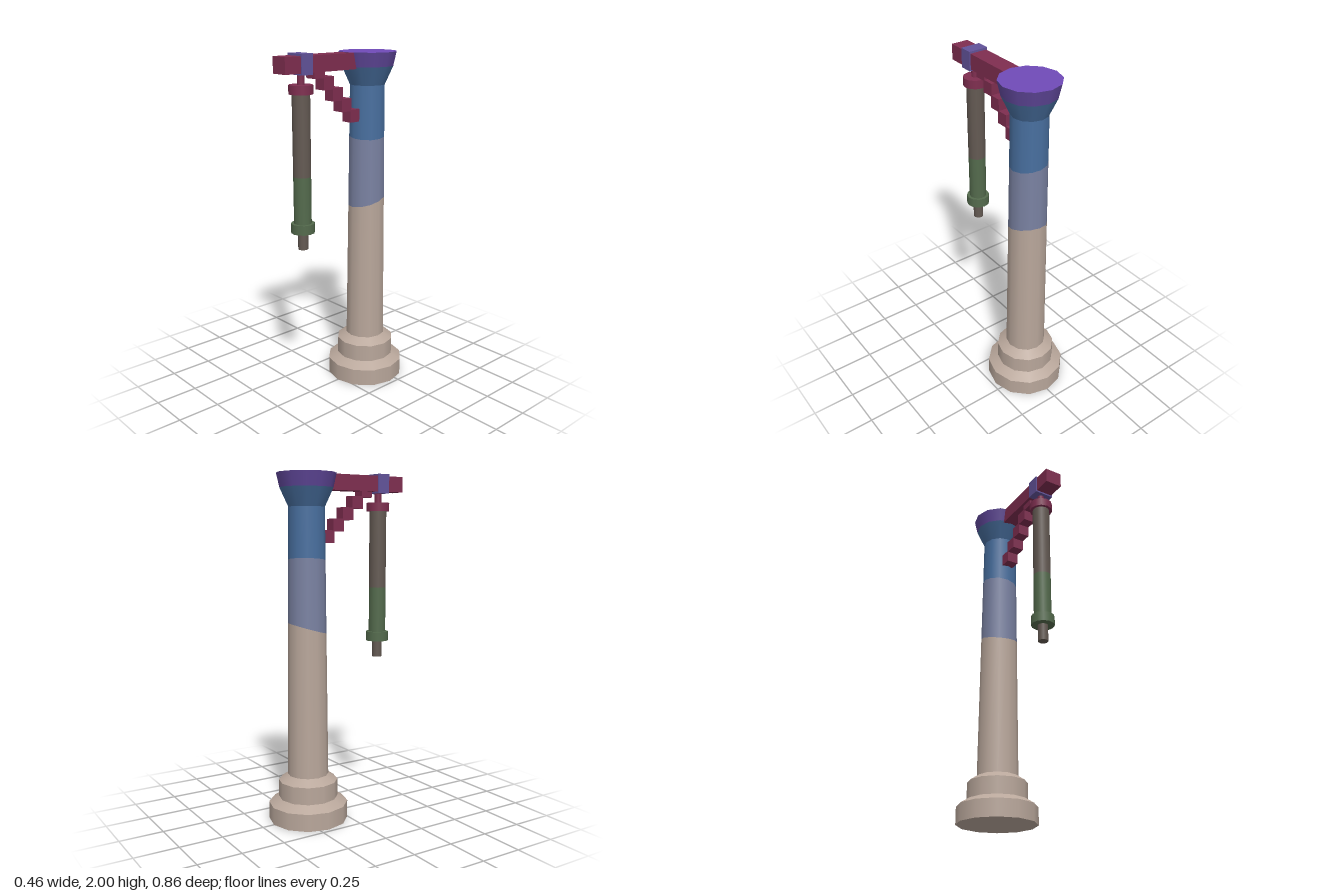
import * as THREE from 'three';

const mat = (name, color) => {
  const m = new THREE.MeshStandardMaterial({ color });
  m.name = name;
  return m;
};

export function createModel() {
  const stone = mat('stone', 0xb9a79b);
  const slate = mat('slate', 0x7a82a2);
  const blue = mat('blue', 0x486f9f);
  const rimPurple = mat('rimPurple', 0x60479a);
  const topPurple = mat('topPurple', 0x704bb8);
  const crimson = mat('crimson', 0x7f2e50);
  const violet = mat('violet', 0x62539a);
  const darkMetal = mat('darkMetal', 0x645a53);
  const green = mat('green', 0x546b4d);

  const root = new THREE.Group();
  root.name = 'pillarWithHangingLamp';
  const SIDES = 12;

  const add = (parent, name, geometry, material, x = 0, y = 0, z = 0) => {
    const mesh = new THREE.Mesh(geometry, material);
    mesh.name = name;
    mesh.position.set(x, y, z);
    parent.add(mesh);
    return mesh;
  };

  // Twelve-sided section from y0 to y1; low and high tilt its end rings as [dy/dx, dy/dz]
  const section = (parent, name, r0, y0, r1, y1, material, open = true, low = [0, 0], high = [0, 0]) => {
    const g = new THREE.CylinderGeometry(r1, r0, y1 - y0, SIDES, 1, open);
    g.translate(0, (y0 + y1) / 2, 0);
    const p = g.attributes.position;
    for (let i = 0; i < p.count; i++) {
      const tilt = p.getY(i) > (y0 + y1) / 2 ? high : low;
      p.setY(i, p.getY(i) + tilt[0] * p.getX(i) + tilt[1] * p.getZ(i));
    }
    return add(parent, name, g, material);
  };

  // Pillar: stepped foot, three-coloured shaft and flared head
  const pillar = new THREE.Group();
  pillar.name = 'pillar';
  pillar.position.z = -0.2;
  root.add(pillar);

  section(pillar, 'footLower', 0.23, 0, 0.23, 0.1, stone, false);
  section(pillar, 'footLowerSlope', 0.23, 0.1, 0.172, 0.135, stone);
  section(pillar, 'footUpper', 0.172, 0.135, 0.172, 0.235, stone);
  section(pillar, 'footUpperSlope', 0.172, 0.235, 0.118, 0.27, stone);

  const lowCut = [0.07, -0.28];
  const highCut = [-0.1, -0.08];
  const flat = [0, 0];
  section(pillar, 'shaftStone', 0.118, 0.27, 0.109, 1.125, stone, true, flat, lowCut);
  section(pillar, 'shaftSlate', 0.109, 1.125, 0.105, 1.512, slate, true, lowCut, highCut);
  section(pillar, 'shaftBlue', 0.105, 1.512, 0.102, 1.805, blue, true, highCut, flat);
  section(pillar, 'headFlare', 0.102, 1.805, 0.15, 1.91, blue);
  section(pillar, 'headRim', 0.15, 1.91, 0.168, 1.99, rimPurple);
  const top = add(pillar, 'headTop', new THREE.CircleGeometry(0.168, SIDES), topPurple, 0, 1.99, 0);
  top.rotation.x = -Math.PI / 2;

  // Arm and the stepped bracket below it
  add(root, 'arm', new THREE.BoxGeometry(0.102, 0.089, 0.63), crimson, 0, 1.944, 0.115);
  for (let i = 0; i < 5; i++) {
    add(root, 'bracketStep' + (i + 1), new THREE.BoxGeometry(0.07, 0.072, 0.072), crimson,
      0, 1.9 - 0.065 * i, 0.185 - 0.065 * i);
  }

  // Strap around the arm
  add(root, 'strap', new THREE.BoxGeometry(0.116, 0.11, 0.076), violet, 0, 1.945, 0.288);

  // Hanging lamp
  const lamp = new THREE.Group();
  lamp.name = 'hangingLamp';
  lamp.position.z = 0.288;
  root.add(lamp);
  section(lamp, 'lampNeck', 0.02, 1.83, 0.02, 1.9, crimson, false);
  section(lamp, 'lampTopCollar', 0.067, 1.788, 0.067, 1.837, crimson, false);
  section(lamp, 'lampUpperTube', 0.05, 1.34, 0.05, 1.79, darkMetal);
  section(lamp, 'lampLowerTube', 0.05, 1.07, 0.05, 1.34, green);
  section(lamp, 'lampBottomCollar', 0.067, 1.02, 0.067, 1.075, green, false);
  section(lamp, 'lampTip', 0.029, 0.922, 0.029, 1.025, darkMetal, false);

  return root;
}
